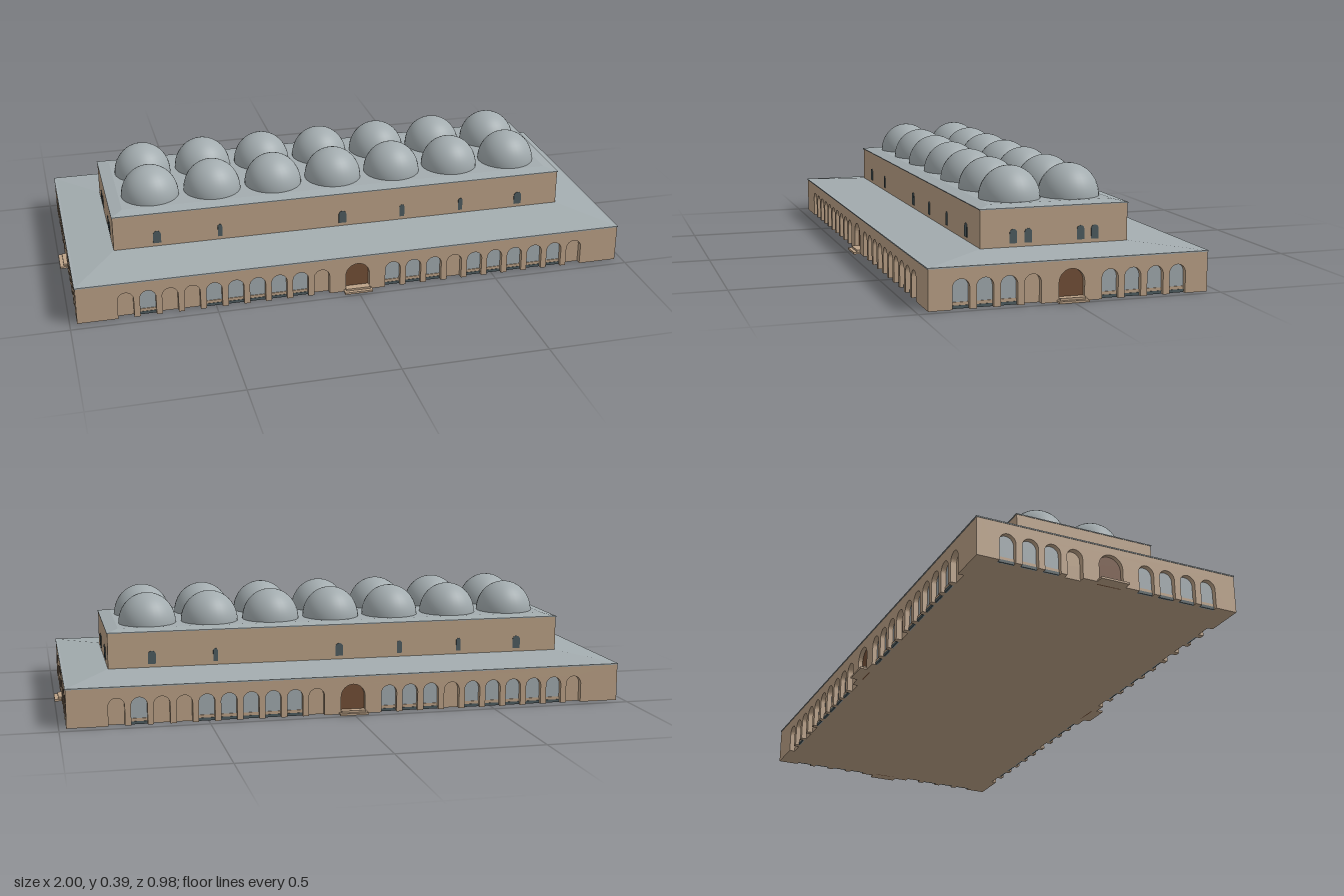
import * as THREE from 'three';

const mat = (name, color, side = THREE.FrontSide) => {
  const m = new THREE.MeshStandardMaterial({ color });
  m.name = name;
  m.side = side;
  return m;
};

export function createModel() {
  const stone = mat('sandstone', 0xbca287);
  const lead = mat('lead roof', 0xa3acaf);
  const glass = mat('pale glass', 0xa2abaf);
  const dark = mat('dark glass', 0x4e5c60);
  const wood = mat('door wood', 0x734f37);

  const model = new THREE.Group();
  model.name = 'domedHall';
  const add = (parent, name, geo, material, x = 0, y = 0, z = 0) => {
    const mesh = new THREE.Mesh(geo, material);
    mesh.name = name;
    mesh.position.set(x, y, z);
    parent.add(mesh);
    return mesh;
  };
  const box = (w, h, d) => new THREE.BoxGeometry(w, h, d);

  // Box whose top face is drawn in, for hipped roofs
  const hip = (w, h, d, topW, topD) => {
    const geo = box(w, h, d).toNonIndexed();
    const p = geo.attributes.position;
    for (let i = 0; i < p.count; i++) {
      if (p.getY(i) > 0) p.setXYZ(i, p.getX(i) * topW / w, p.getY(i), p.getZ(i) * topD / d);
    }
    geo.computeVertexNormals();
    return geo;
  };

  // Traces a round-headed arch from its left foot to its right foot
  const traceArch = (path, x, w, h) => {
    path.lineTo(x - w / 2, 0);
    path.lineTo(x - w / 2, h - w / 2);
    path.absarc(x, h - w / 2, w / 2, Math.PI, 0, true);
    path.lineTo(x + w / 2, 0);
  };
  const archPlate = (w, h, depth) => {
    const s = new THREE.Shape();
    s.moveTo(-w / 2, 0);
    traceArch(s, 0, w, h);
    return new THREE.ExtrudeGeometry(s, { depth, bevelEnabled: false, curveSegments: 10 });
  };

  const W = 0.975, D = 0.463, H = 0.13, T = 0.02;
  const archW = 0.055, archH = 0.095, doorW = 0.085, doorH = 0.104;

  // One facade: arcade wall, recessed panes, door, steps and upper windows
  function facade(name, half, dist, upperDist, arches, blind, windows) {
    const g = new THREE.Group();
    g.name = name;
    const openings = [...arches, 0].sort((a, b) => a - b);
    const s = new THREE.Shape();
    s.moveTo(-half, 0);
    for (const x of openings) {
      traceArch(s, x, x === 0 ? doorW : archW, x === 0 ? doorH : archH);
    }
    s.lineTo(half, 0);
    s.lineTo(half, H);
    s.lineTo(-half, H);
    s.closePath();
    add(g, 'arcadeWall', new THREE.ExtrudeGeometry(s, { depth: T, bevelEnabled: false, curveSegments: 10 }),
      stone, 0, 0, dist - T);

    const paneGeo = archPlate(archW, archH, 0.003);
    for (const x of arches) {
      if (blind.includes(x)) continue;
      add(g, 'archPane', paneGeo, glass, x, 0, dist - T);
      add(g, 'archLedge', box(archW, 0.01, 0.005), stone, x, 0.015, dist - T + 0.003);
      add(g, 'archSill', box(archW, 0.01, 0.006), dark, x, 0.005, dist - T + 0.004);
    }
    add(g, 'door', archPlate(doorW, doorH, 0.005), wood, 0, 0, dist - T);
    add(g, 'lowerStep', box(0.1, 0.007, T + 0.025), stone, 0, 0.0035, dist + 0.0025);
    add(g, 'upperStep', box(0.086, 0.007, T + 0.012), stone, 0, 0.0105, dist - 0.004);

    for (const [x, w] of windows) {
      add(g, 'upperWindow', archPlate(w, 0.046, 0.003), dark, x, 0.163, upperDist - 0.001);
    }
    model.add(g);
    return g;
  }

  const longArches = [], shortArches = [];
  for (let i = 0; i < 10; i++) {
    longArches.push(0.128 + i * 0.0757, -0.128 - i * 0.0757);
  }
  for (let i = 0; i < 4; i++) {
    shortArches.push(0.128 + i * 0.077, -0.128 - i * 0.077);
  }
  const longBlind = [0, 6, 7, 9].map(i => longArches[i * 2 + 1]);
  longBlind.push(longArches[6], longArches[18]);
  const shortBlind = [shortArches[1]];
  const pitch = 0.2227;
  const longWindows = [[-3, 0.028], [-2, 0.016], [0, 0.028], [1, 0.018], [2, 0.016], [3, 0.028]]
    .map(([i, w]) => [i * pitch, w]);
  const shortWindows = [-0.14, -0.09, 0.088, 0.137].map(x => [x, 0.025]);

  // Facing sides repeat by a half turn
  for (const turn of [0, Math.PI]) {
    const end = turn ? 'back' : 'front';
    const side = turn ? 'right' : 'left';
    facade(end + 'Facade', W, D, 0.25, longArches, longBlind, longWindows).rotation.y = turn;
    facade(side + 'Facade', D - T, W, 0.82, shortArches, shortBlind, shortWindows).rotation.y = turn + Math.PI / 2;
  }

  // Solid cores and roofs
  add(model, 'lowerCore', box(2 * (W - T), H, 2 * (D - T)), stone, 0, H / 2, 0);
  add(model, 'lowerEave', box(2 * W + 0.004, 0.004, 2 * D + 0.004), lead, 0, H + 0.002, 0);
  add(model, 'lowerRoof', hip(2 * W + 0.004, 0.018, 2 * D + 0.004, 1.64, 0.5), lead, 0, 0.142, 0);
  add(model, 'upperStorey', box(1.64, 0.132, 0.5), stone, 0, 0.209, 0);
  add(model, 'upperEave', box(1.644, 0.003, 0.504), lead, 0, 0.2755, 0);
  add(model, 'upperRoof', hip(1.644, 0.008, 0.504, 1.56, 0.42), lead, 0, 0.281, 0);

  // Two rows of seven domes
  const domeGeo = new THREE.SphereGeometry(0.102, 32, 12, 0, Math.PI * 2, 0, Math.PI / 2);
  for (let i = -3; i <= 3; i++) {
    for (const z of [-0.103, 0.103]) {
      add(model, 'dome', domeGeo, lead, i * pitch, 0.285, z).scale.y = 1.05;
    }
  }
  return model;
}
